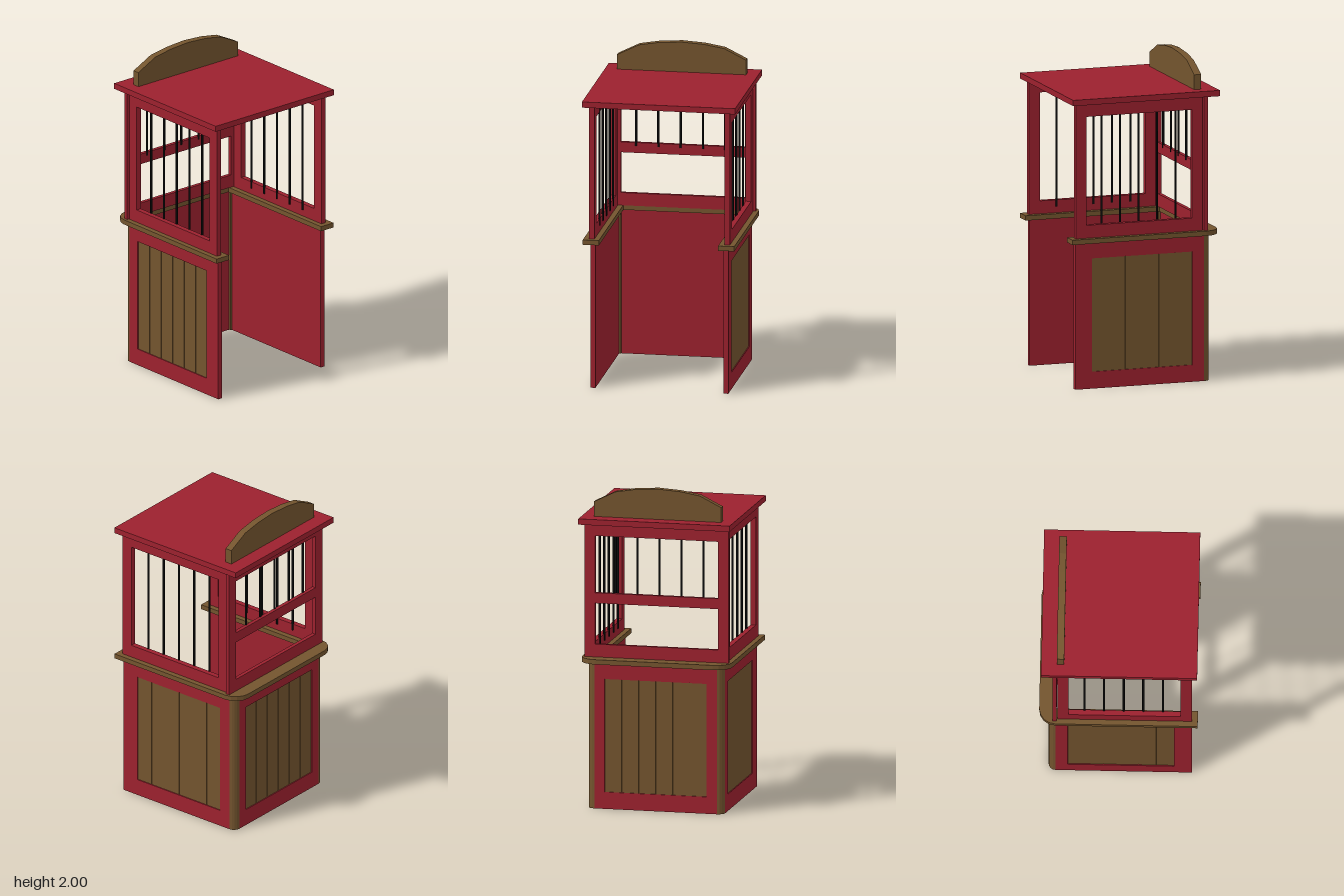
import * as THREE from 'three';

const mat = (name, color) => {
  const m = new THREE.MeshStandardMaterial({ color });
  m.name = name;
  return m;
};

export function createModel() {
  const red = mat('red paint', 0x9c212e);
  const wood = mat('brown wood', 0x73542e);
  const iron = mat('black iron', 0x0a0a0a);
  const model = new THREE.Group();
  model.name = 'booth';

  const add = (parent, name, geometry, material) => {
    const mesh = new THREE.Mesh(geometry, material);
    mesh.name = name;
    parent.add(mesh);
    return mesh;
  };
  const group = (name) => {
    const g = new THREE.Group();
    g.name = name;
    model.add(g);
    return g;
  };
  // Box given by its limits on each axis
  const box = (parent, name, material, [x0, x1], [y0, y1], [z0, z1]) =>
    add(parent, name, new THREE.BoxGeometry(x1 - x0, y1 - y0, z1 - z0), material)
      .position.set((x0 + x1) / 2, (y0 + y1) / 2, (z0 + z1) / 2);
  const extrude = (shape, depth) =>
    new THREE.ExtrudeGeometry(shape, { depth, bevelEnabled: false, curveSegments: 2 });
  // Flat shape in x and -z raised between two heights
  const raise = (parent, name, material, shape, y0, y1) => {
    const mesh = add(parent, name, extrude(shape, y1 - y0), material);
    mesh.rotation.x = -Math.PI / 2;
    mesh.position.y = y0;
  };

  // Lower wall facing local +z: red sheet, raised surround and six recessed planks
  const wall = (name, halfWidth, p0, p1) => {
    const g = group(name);
    const [b, t, top] = [0.105, 0.81, 0.915];
    box(g, 'wallSheet', red, [-halfWidth, halfWidth], [0, top], [-0.03, -0.012]);
    const surround = new THREE.Shape();
    surround.moveTo(-halfWidth, 0).lineTo(halfWidth, 0).lineTo(halfWidth, top).lineTo(-halfWidth, top).closePath();
    const opening = new THREE.Path();
    opening.moveTo(p0, b).lineTo(p0, t).lineTo(p1, t).lineTo(p1, b).closePath();
    surround.holes.push(opening);
    add(g, 'wallSurround', extrude(surround, 0.012), red).position.z = -0.012;
    box(g, 'panelBacking', wood, [p0, p1], [b, t], [-0.012, -0.009]);
    const step = (p1 - p0) / 6;
    for (let i = 0; i < 6; i++) {
      const u = p0 + i * step;
      box(g, 'plank', wood, [u + 0.001, u + step - 0.001], [b, t], [-0.01, -0.006]);
    }
    return g;
  };

  for (const s of [1, -1]) {
    const side = s > 0 ? 'left' : 'right';
    const ends = [-0.308, 0.342];
    const w = s > 0 ? wall('leftWall', 0.4175, ...ends) : wall('rightWall', 0.4175, -ends[1], -ends[0]);
    w.rotation.y = s * Math.PI / 2;
    w.position.set(s * 0.427, 0, 0.0325);

    // Rounded corner post at the back
    const post = new THREE.Shape();
    post.moveTo(0, 0).lineTo(0.042, 0).absarc(0, 0, 0.042, 0, Math.PI / 2, false).lineTo(0, 0);
    const corner = group(side + 'CornerPost');
    raise(corner, 'cornerPost', wood, post, 0, 0.915);
    corner.position.set(s * 0.385, 0, -0.385);
    if (s < 0) corner.rotation.y = Math.PI / 2;

    // Upper side frame with bars
    const f = group(side + 'Frame');
    const xs = s > 0 ? [0.403, 0.437] : [-0.437, -0.403];
    box(f, 'frontPost', red, xs, [0.94, 1.78], [0.38, 0.45]);
    box(f, 'rearPost', red, xs, [0.94, 1.78], [-0.372, -0.305]);
    box(f, 'bottomRail', red, xs, [0.94, 1.02], [-0.305, 0.38]);
    box(f, 'topRail', red, xs, [1.695, 1.78], [-0.305, 0.38]);
    for (let i = 0; i < 5; i++) {
      add(f, 'bar', new THREE.CylinderGeometry(0.007, 0.007, 0.76, 8), iron)
        .position.set(s * 0.403, 1.36, 0.272 - i * 0.12);
    }
  }

  const back = wall('backWall', 0.385, -0.32, 0.32);
  back.rotation.y = Math.PI;
  back.position.z = -0.427;

  // U-shaped counter ledge with rounded rear corners
  const ledge = new THREE.Shape();
  ledge.moveTo(0.37, -0.485).lineTo(0.47, -0.485).lineTo(0.47, 0.385)
    .absarc(0.37, 0.385, 0.1, 0, Math.PI / 2, false)
    .lineTo(-0.37, 0.485).absarc(-0.37, 0.385, 0.1, Math.PI / 2, Math.PI, false)
    .lineTo(-0.47, -0.485).lineTo(-0.37, -0.485).lineTo(-0.37, 0.385).lineTo(0.37, 0.385).closePath();
  raise(model, 'counterLedge', wood, ledge, 0.91, 0.94);

  // Upper back frame with a middle rail and short bars
  const bf = group('backFrame');
  const zs = [-0.402, -0.378];
  box(bf, 'backPost', red, [0.385, 0.452], [0.94, 1.78], zs);
  box(bf, 'backPost', red, [-0.452, -0.385], [0.94, 1.78], zs);
  for (const ys of [[0.94, 1.02], [1.275, 1.34], [1.695, 1.78]])
    box(bf, 'backRail', red, [-0.385, 0.385], ys, zs);
  for (let i = 0; i < 5; i++) {
    add(bf, 'bar', new THREE.CylinderGeometry(0.007, 0.007, 0.4, 8), iron)
      .position.set(-0.29 + i * 0.138, 1.52, -0.38);
  }

  // Flat roof and arched sign board
  box(model, 'roof', red, [-0.475, 0.475], [1.775, 1.811], [-0.472, 0.482]);
  const arch = [[0.4, 1.81], [0.4, 1.903], [0.265, 1.97], [0.14, 1.991], [0, 2]];
  const outline = [...arch, ...arch.slice(0, -1).reverse().map(([x, y]) => [-x, y])];
  const sign = new THREE.Shape(outline.map(([x, y]) => new THREE.Vector2(x, y)));
  add(model, 'signBoard', extrude(sign, 0.045), wood).position.z = -0.377;

  return model;
}
